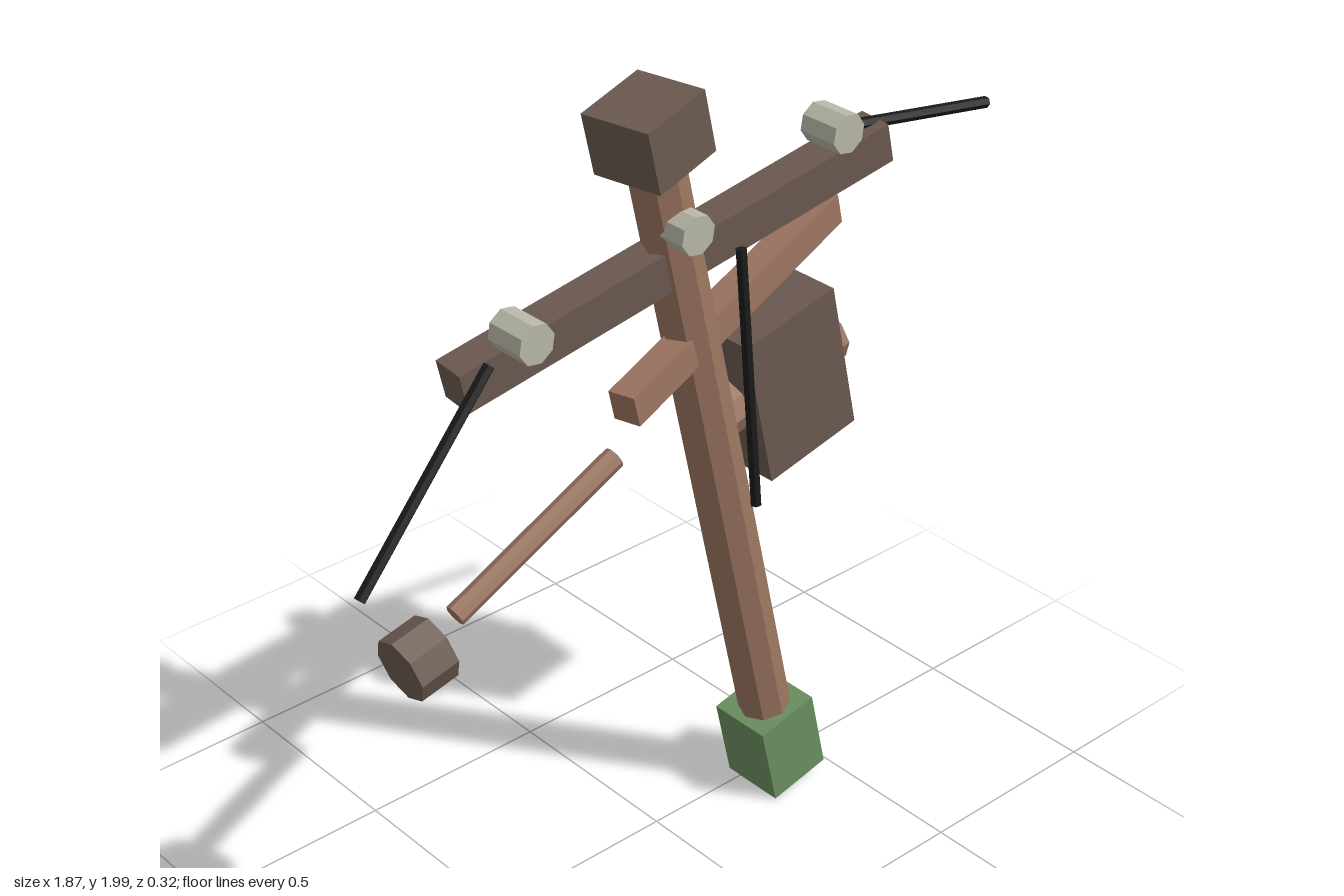
import * as THREE from 'three';

const TILT = 0.227; // lean of the whole pole
const AXIS_Z = 0.045;

const mat = (color) => new THREE.MeshStandardMaterial({ color, flatShading: true });
const wood = mat(0x9a7460);
const darkWood = mat(0x6b5a50);
const green = mat(0x6b8e60);
const ceramic = mat(0xb8b8a8);
const black = mat(0x1a1a1a);

export function createModel() {
  const model = new THREE.Group();

  const add = (name, geometry, material, position) => {
    const mesh = new THREE.Mesh(geometry, material);
    mesh.name = name;
    mesh.position.set(...position);
    model.add(mesh);
    return mesh;
  };

  // Box leaning with the pole, turned by yaw about the pole's own axis
  const box = (name, size, material, position, yaw = 0) =>
    add(name, new THREE.BoxGeometry(...size), material, position).rotation.set(0, yaw, TILT, 'ZYX');

  // Cylinder leaning with the pole, lying along its own x or z axis
  const drum = (name, radius, length, material, position, axis) => {
    const geometry = new THREE.CylinderGeometry(radius, radius, length, 8);
    if (axis === 'x') geometry.rotateZ(Math.PI / 2);
    else geometry.rotateX(Math.PI / 2);
    add(name, geometry, material, position).rotation.z = TILT;
  };

  // Straight round bar between two points
  const bar = (name, from, to, radius, sides, material) => {
    const a = new THREE.Vector3(...from);
    const b = new THREE.Vector3(...to);
    const dir = b.clone().sub(a);
    const geometry = new THREE.CylinderGeometry(radius, radius, dir.length(), sides);
    const mesh = add(name, geometry, material, a.add(b).multiplyScalar(0.5).toArray());
    mesh.quaternion.setFromUnitVectors(new THREE.Vector3(0, 1, 0), dir.normalize());
  };

  // Leaning pole with its foot and cap
  bar('pole', [0.345, 0.135, AXIS_Z], [-0.061, 1.9, AXIS_Z], 0.066, 8, wood);
  box('footBlock', [0.173, 0.225, 0.17], green, [0.345, 0.136, AXIS_Z]);
  box('capBlock', [0.187, 0.153, 0.187], darkWood, [-0.061, 1.9, AXIS_Z], 0.14);

  // Crossarms
  box('upperCrossarm', [1.19, 0.098, 0.09], darkWood, [0.012, 1.585, 0.042], -0.08);
  box('lowerCrossarm', [0.825, 0.077, 0.07], wood, [0.2, 1.4, 0.024], 0.215);

  // Insulators in a row along the upper crossarm
  for (const i of [-1, 0, 1]) {
    drum('insulator', 0.048, 0.105, ceramic, [-0.015 + 0.447 * i, 1.683 + 0.105 * i, 0.1], 'z');
  }

  // Box at the side with a stub through it
  box('transformerBox', [0.283, 0.4, 0.195], darkWood, [0.429, 1.107, -0.062]);
  drum('transformerStub', 0.068, 0.383, wood, [0.427, 1.103, -0.062], 'x');

  // Loose brace and drum
  bar('brace', [-0.606, 0.905, 0.02], [-0.143, 1.128, 0.02], 0.027, 8, wood);
  drum('looseDrum', 0.081, 0.103, darkWood, [-0.706, 0.836, 0.015], 'x');

  // Broken wires
  const wires = [
    [[-0.543, 1.535, 0.093], [-0.925, 1.138, 0.128]],
    [[0.148, 1.585, 0.113], [0.177, 0.932, 0.148]],
    [[0.475, 1.773, 0.09], [0.93, 1.712, 0.11]],
  ];
  for (const [from, to] of wires) bar('wire', from, to, 0.014, 6, black);

  return model;
}
